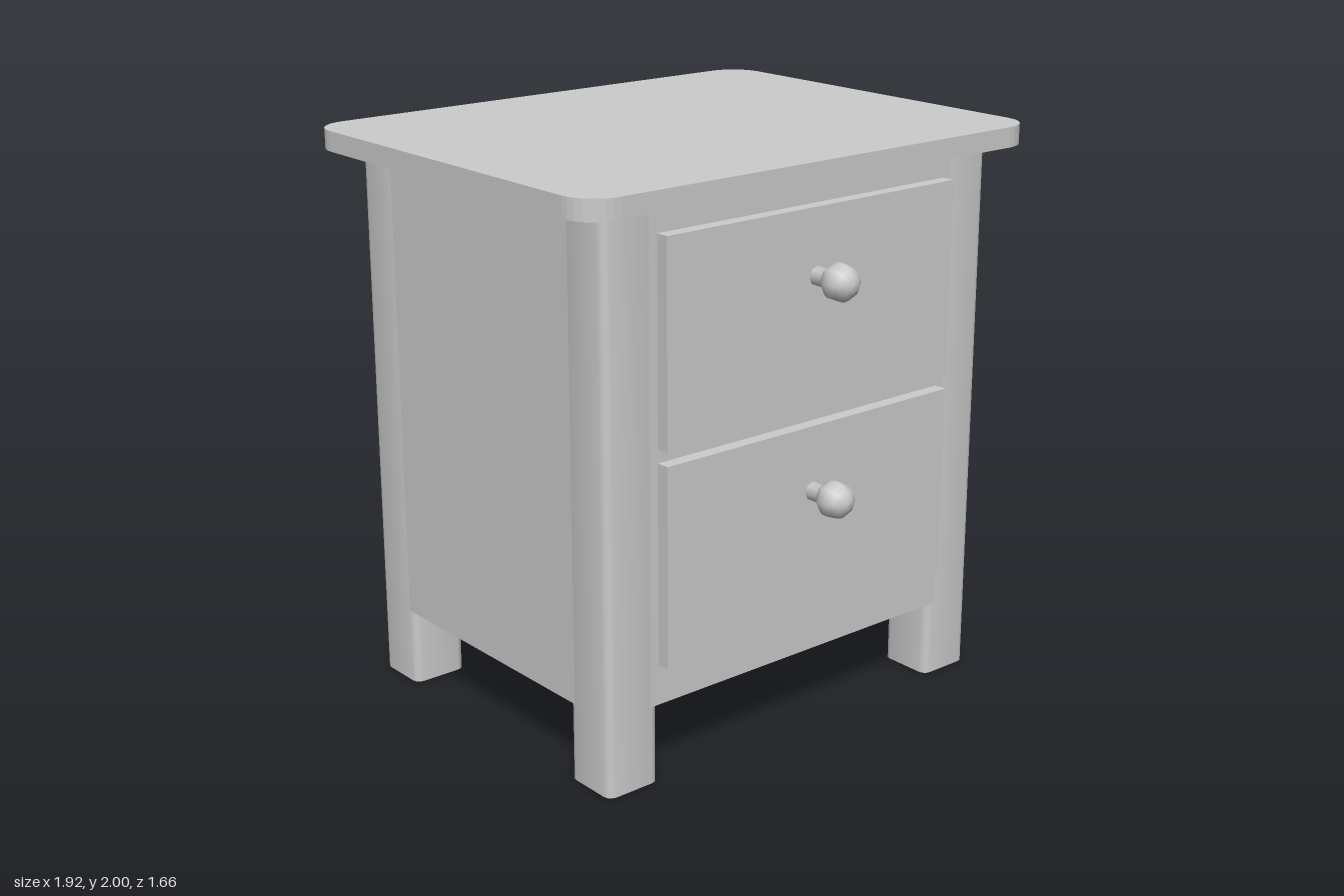
import * as THREE from 'three';

const grey = new THREE.MeshStandardMaterial({ color: 0xcccccc });
const openGrey = new THREE.MeshStandardMaterial({ color: 0xcccccc, side: THREE.DoubleSide });

const W = 0.83, FRONT = 0.61, BACK = -0.72;   // carcass extents
const MID = (FRONT + BACK) / 2, DEPTH = (FRONT - BACK) / 2;
const POST = 0.205, FLOOR = 0.275, TOP_Y = 1.93;

function part(name, geometry, material = grey) {
  const mesh = new THREE.Mesh(geometry, material);
  mesh.name = name;
  return mesh;
}

// Outline of a rectangle with rounded corners
function roundedRect(hw, hd, r) {
  const s = new THREE.Shape();
  s.absarc(hw - r, hd - r, r, 0, Math.PI / 2);
  s.absarc(-hw + r, hd - r, r, Math.PI / 2, Math.PI);
  s.absarc(-hw + r, -hd + r, r, Math.PI, Math.PI * 1.5);
  s.absarc(hw - r, -hd + r, r, Math.PI * 1.5, Math.PI * 2);
  s.closePath();
  return s;
}

// Upright extrusion of a plan shape from y0 to y1
function slab(shape, y0, y1, curveSegments) {
  const g = new THREE.ExtrudeGeometry(shape, { depth: y1 - y0, bevelEnabled: false, curveSegments });
  return g.rotateX(-Math.PI / 2).translate(0, y0, 0);
}

// Open square tube with softened edges whose shading rolls over the corners
function postGeometry(size, r, height, steps = 3) {
  const pos = [], nor = [], index = [];
  const h = size / 2 - r;
  for (let c = 0; c < 4; c++) {
    const mid = Math.PI / 4 + c * Math.PI / 2;
    const cx = Math.sign(Math.cos(mid)) * h, cz = Math.sign(Math.sin(mid)) * h;
    for (let i = 0; i <= steps; i++) {
      const off = (i / steps - 0.5) * Math.PI / 2;
      const a = mid + off, n = mid + off * 0.8;
      for (const y of [0, height]) {
        pos.push(cx + r * Math.cos(a), y, cz + r * Math.sin(a));
        nor.push(Math.cos(n), 0, Math.sin(n));
      }
    }
  }
  const count = 4 * (steps + 1);
  for (let i = 0; i < count; i++) {
    const a = i * 2, b = ((i + 1) % count) * 2;
    index.push(a, a + 1, b, b, a + 1, b + 1);
  }
  const g = new THREE.BufferGeometry();
  g.setAttribute('position', new THREE.Float32BufferAttribute(pos, 3));
  g.setAttribute('normal', new THREE.Float32BufferAttribute(nor, 3));
  g.setIndex(index);
  return g;
}

// Eight-sided turned knob: straight stem and ball
function knobGeometry() {
  const R = 0.065, stem = 0.033, centre = 0.11;
  const pts = [new THREE.Vector2(stem, -0.01)];
  const start = Math.asin(stem / R);
  for (let i = 0; i <= 9; i++) {
    const a = start + (Math.PI - start) * i / 9;
    pts.push(new THREE.Vector2(Math.max(0, R * Math.sin(a)), centre - R * Math.cos(a)));
  }
  return new THREE.LatheGeometry(pts, 8).rotateX(Math.PI / 2);
}

export function createModel() {
  const model = new THREE.Group();
  model.name = 'nightstand';

  // Table top with rounded corners
  const top = part('tableTop', slab(roundedRect(0.96, 0.77, 0.125), TOP_Y, 2, 4));
  top.position.z = -0.06;
  model.add(top);

  // Carcass, notched at the corners for the posts
  const n = POST - 0.03, plan = new THREE.Shape();
  plan.setFromPoints([
    [W - n, -DEPTH], [W - n, -DEPTH + n], [W, -DEPTH + n],
    [W, DEPTH - n], [W - n, DEPTH - n], [W - n, DEPTH],
    [-W + n, DEPTH], [-W + n, DEPTH - n], [-W, DEPTH - n],
    [-W, -DEPTH + n], [-W + n, -DEPTH + n], [-W + n, -DEPTH],
  ].map(([x, y]) => new THREE.Vector2(x, y)));
  const carcass = part('carcass', slab(plan, FLOOR, TOP_Y, 1));
  carcass.position.z = MID;
  model.add(carcass);

  // Corner posts running down into the legs
  const post = postGeometry(POST, 0.028, TOP_Y);
  for (const sx of [1, -1]) {
    for (const sz of [1, -1]) {
      const leg = part((sz > 0 ? 'front' : 'back') + (sx > 0 ? 'Left' : 'Right') + 'Leg', post, openGrey);
      leg.position.set(sx * (W - POST / 2), 0, MID + sz * (DEPTH - POST / 2));
      model.add(leg);
    }
  }

  // Drawers with knobs
  const knob = knobGeometry();
  [['upperDrawer', 1.495, 1.613], ['lowerDrawer', 0.76, 0.878]].forEach(([name, y, knobY]) => {
    const drawer = new THREE.Group();
    drawer.name = name;
    const front = part('drawerFront', new THREE.BoxGeometry(1.245, 0.69, 0.07));
    front.position.set(0, y, 0.622);
    const handle = part('knob', knob);
    handle.position.set(0, knobY, 0.655);
    drawer.add(front, handle);
    model.add(drawer);
  });

  return model;
}
